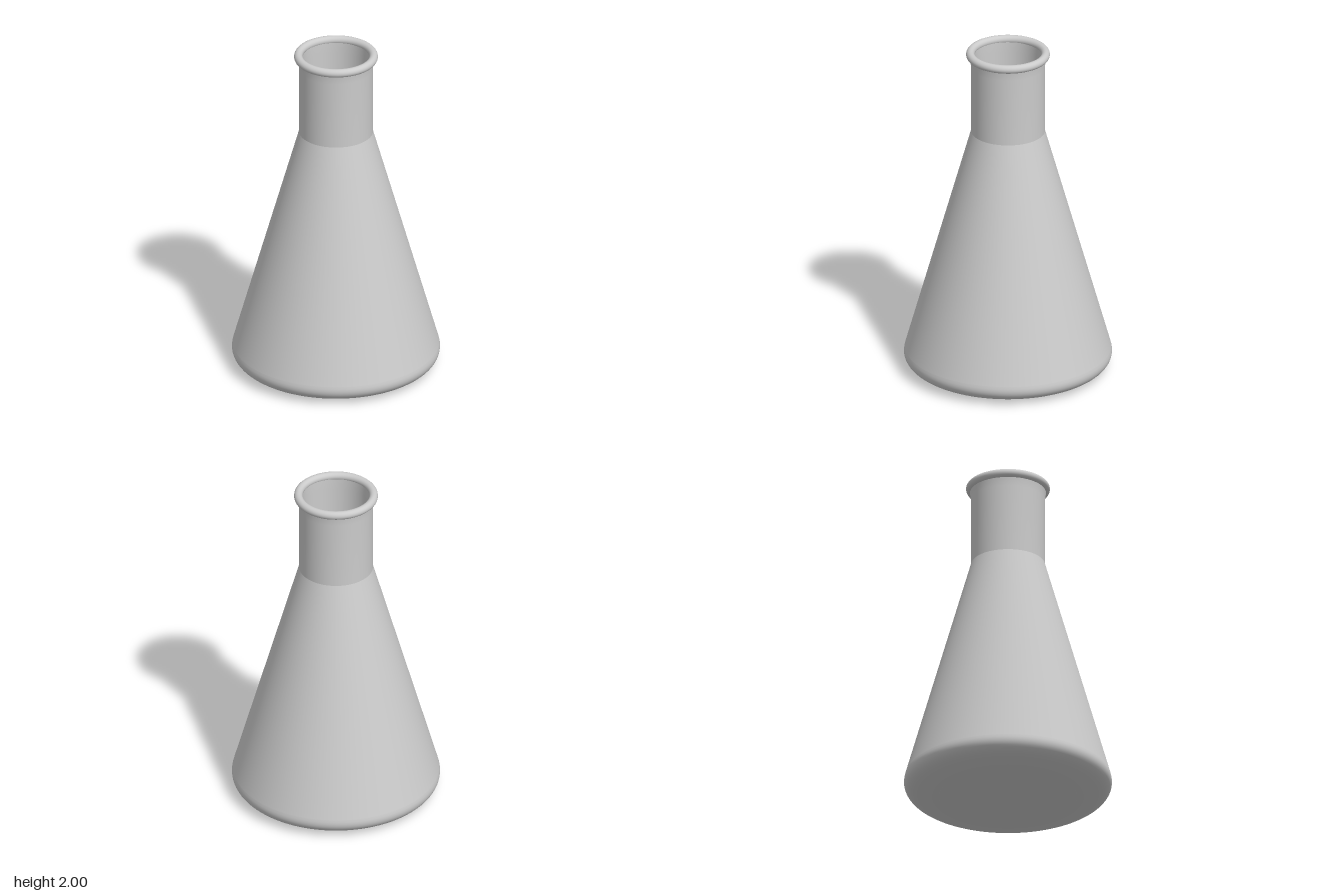
import * as THREE from 'three';

const SEGMENTS = 96;
const WALL = 0.02;

export function createModel() {
  const group = new THREE.Group();
  const material = new THREE.MeshStandardMaterial({ color: 0xcccccc });
  const v = (x, y) => new THREE.Vector2(x, y);

  // Each part is a revolved profile; separate parts keep the creases sharp.
  const addLathe = (name, points) => {
    const mesh = new THREE.Mesh(new THREE.LatheGeometry(points, SEGMENTS), material);
    mesh.name = name;
    group.add(mesh);
  };

  // Rounded heel between the flat bottom and the cone
  const heel = new THREE.CubicBezierCurve(v(0.4, 0.002), v(0.55, 0.002), v(0.625, 0.045), v(0.6, 0.125)).getPoints(16);
  const innerHeel = new THREE.CubicBezierCurve(v(0.39, WALL), v(0.54, WALL), v(0.6, 0.06), v(0.58, 0.125)).getPoints(16).reverse();

  // Outer shell
  addLathe('base', [v(0, 0), v(0.39, 0), ...heel]);
  addLathe('coneWall', [v(0.6, 0.125), v(0.215, 1.49)]);
  addLathe('neck', [v(0.215, 1.49), v(0.215, 1.9), v(0.222, 1.96)]);

  // Inner shell, running downward so that it faces the axis
  addLathe('innerNeck', [v(0.197, 1.975), v(0.195, 1.9), v(0.195, 1.49)]);
  addLathe('innerConeWall', [v(0.195, 1.49), v(0.58, 0.125)]);
  addLathe('innerFloor', [...innerHeel, v(0, WALL)]);

  // Rolled lip
  const lip = new THREE.Mesh(new THREE.TorusGeometry(0.219, 0.025, 20, SEGMENTS), material);
  lip.name = 'lip';
  lip.rotation.x = Math.PI / 2;
  lip.position.y = 1.975;
  group.add(lip);

  return group;
}
